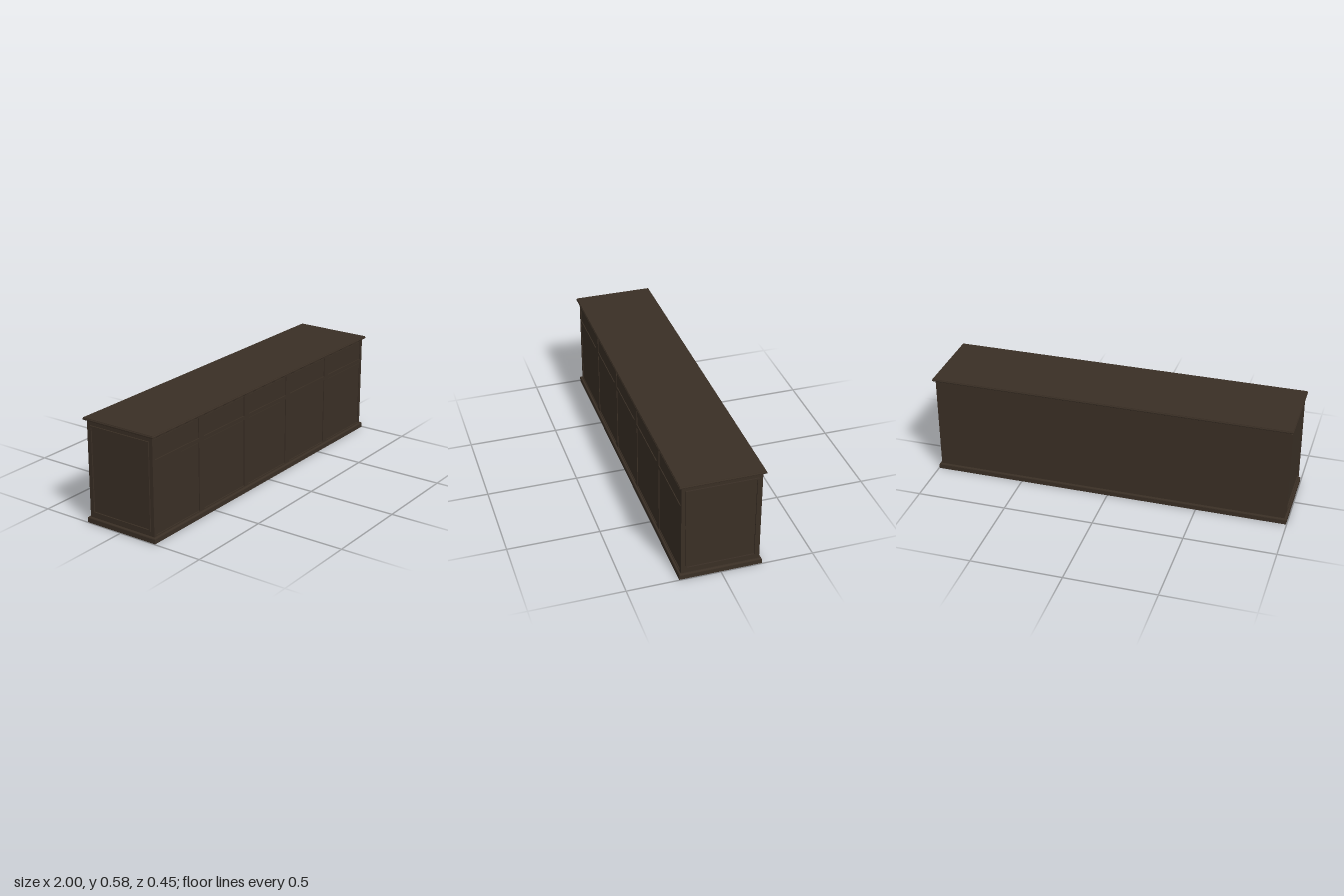
import * as THREE from 'three';

const wood = new THREE.MeshStandardMaterial({ color: 0x3a2f25 });
wood.name = 'dark wood';

const BODY_X = 0.985, BODY_Z = 0.21, BASE_TOP = 0.03, BODY_TOP = 0.563;

function add(parent, name, geometry, x = 0, y = 0, z = 0) {
  const mesh = new THREE.Mesh(geometry, wood);
  mesh.name = name;
  mesh.position.set(x, y, z);
  parent.add(mesh);
  return mesh;
}

// Stacked rectangles [half width, y, half depth] joined into a closed moulded slab
function mouldedSlab(sections) {
  const rings = sections.map(([x, y, z]) => [[-x, y, z], [x, y, z], [x, y, -z], [-x, y, -z]]);
  const points = [];
  const quad = (a, b, c, d) => points.push(...a, ...b, ...c, ...a, ...c, ...d);
  for (let i = 0; i < rings.length - 1; i++) {
    for (let k = 0; k < 4; k++) {
      const n = (k + 1) % 4;
      quad(rings[i][k], rings[i][n], rings[i + 1][n], rings[i + 1][k]);
    }
  }
  const low = rings[0], top = rings[rings.length - 1];
  quad(low[3], low[2], low[1], low[0]);
  quad(top[0], top[1], top[2], top[3]);
  const geometry = new THREE.BufferGeometry();
  geometry.setAttribute('position', new THREE.Float32BufferAttribute(points, 3));
  geometry.computeVertexNormals();
  return geometry;
}

function rectangle(target, x0, y0, x1, y1) {
  target.moveTo(x0, y0);
  target.lineTo(x1, y0);
  target.lineTo(x1, y1);
  target.lineTo(x0, y1);
  target.closePath();
  return target;
}

export function createModel() {
  const model = new THREE.Group();
  model.name = 'sideboard';

  // Plinth with a sloped upper edge
  add(model, 'plinth', mouldedSlab([
    [0.997, 0, 0.222], [0.997, 0.024, 0.222], [0.995, 0.028, 0.22], [0.992, BASE_TOP, 0.217],
  ]));

  // Carcass, stopping just behind the front frame
  const recess = 0.006;
  add(model, 'carcass',
    new THREE.BoxGeometry(BODY_X * 2, BODY_TOP - BASE_TOP, BODY_Z * 2 - recess),
    0, (BASE_TOP + BODY_TOP) / 2, -recess / 2);

  // Front frame with a drawer opening above a door opening in each bay
  const frame = rectangle(new THREE.Shape(), -BODY_X, BASE_TOP, BODY_X, BODY_TOP);
  const pitch = 0.395, halfBay = 0.177;
  for (let bay = -2; bay <= 2; bay++) {
    const x = bay * pitch;
    for (const [y0, y1] of [[0.036, 0.418], [0.44, 0.55]]) {
      frame.holes.push(rectangle(new THREE.Path(), x - halfBay, y0, x + halfBay, y1));
      // Inset door or drawer front with a narrow shadow gap
      const gap = 0.003;
      add(model, y0 < 0.1 ? 'door' : 'drawerFront',
        new THREE.BoxGeometry((halfBay - gap) * 2, y1 - y0 - gap * 2, 0.004),
        x, (y0 + y1) / 2, BODY_Z - recess + 0.001);
    }
  }
  add(model, 'frontFrame',
    new THREE.ExtrudeGeometry(frame, { depth: recess, bevelEnabled: false }),
    0, 0, BODY_Z - recess);

  // Raised rectangular moulding on both ends
  for (const side of [-1, 1]) {
    const border = rectangle(new THREE.Shape(), -0.189, 0.056, 0.189, 0.538);
    border.holes.push(rectangle(new THREE.Path(), -0.18, 0.065, 0.18, 0.529));
    const moulding = add(model, side > 0 ? 'leftEndMoulding' : 'rightEndMoulding',
      new THREE.ExtrudeGeometry(border, { depth: 0.007, bevelEnabled: false }),
      side * BODY_X);
    moulding.rotation.y = side * Math.PI / 2;
  }

  // Worktop with a rounded lip and a thin stepped upper layer
  add(model, 'worktop', mouldedSlab([
    [0.997, BODY_TOP, 0.222], [0.9995, 0.565, 0.2245], [1, 0.567, 0.225],
    [1, 0.571, 0.225], [0.998, 0.573, 0.223], [0.997, 0.577, 0.222],
  ]));

  return model;
}
